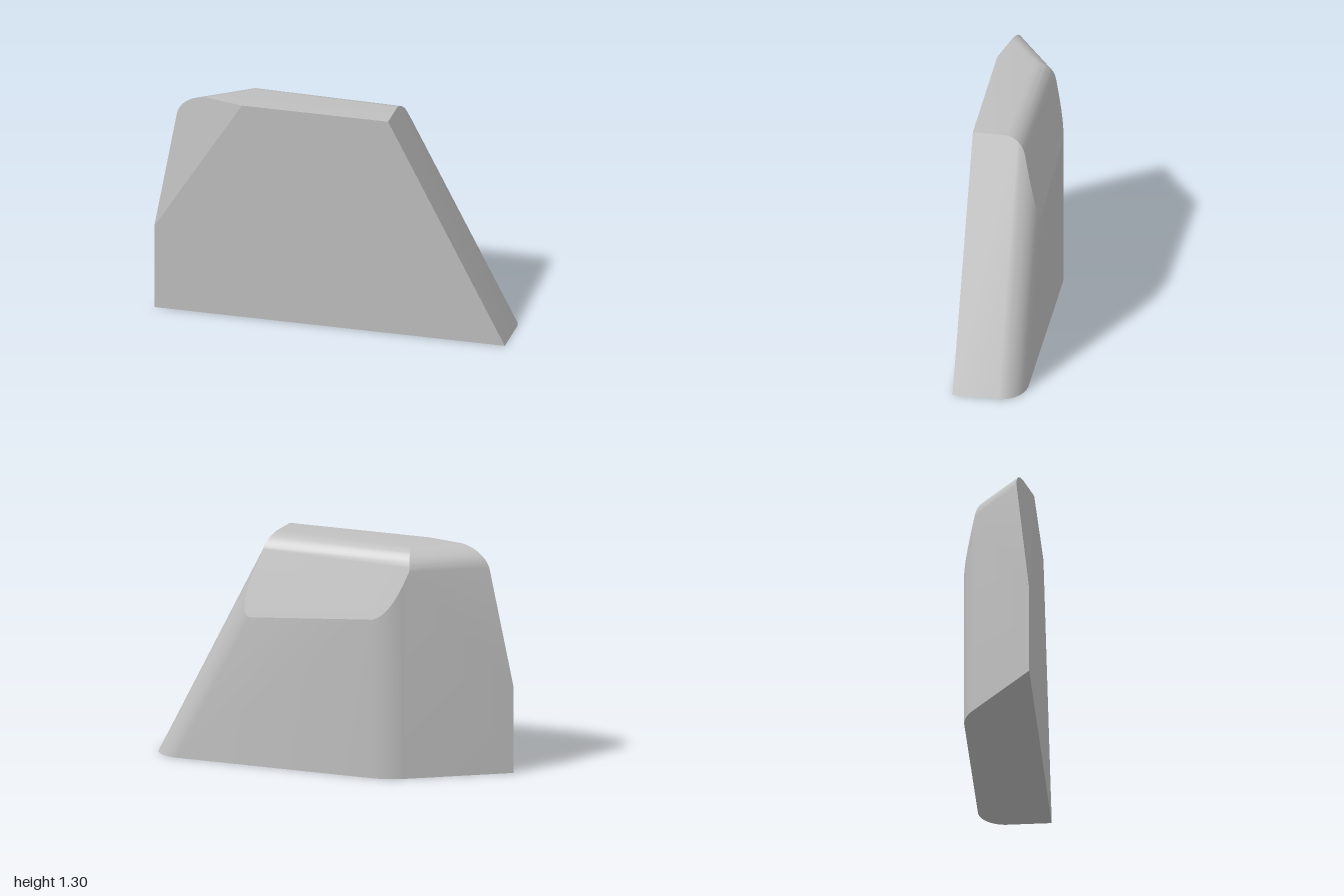
import * as THREE from 'three';
import { toCreasedNormals } from 'three/addons/utils/BufferGeometryUtils.js';

const V = (x, y, z) => new THREE.Vector3(x, y, z);
const STEPS = 9;

// Plane facing along n through point p, kept as outward normal and distance
function plane(n, p) {
  n.normalize();
  return { n, d: n.dot(p) };
}

// Planes tangent to a rounded edge of radius r between planes a and b
function fillet(a, b, r) {
  const angle = a.n.angleTo(b.n), out = [];
  for (let i = 1; i < STEPS; i++) {
    const t = i / STEPS;
    const wa = Math.sin((1 - t) * angle) / Math.sin(angle);
    const wb = Math.sin(t * angle) / Math.sin(angle);
    const n = a.n.clone().multiplyScalar(wa).addScaledVector(b.n, wb);
    out.push({ n, d: wa * (a.d - r) + wb * (b.d - r) + r });
  }
  return out;
}

// Convex solid bounded by a list of planes
function solidFromPlanes(planes) {
  const faces = planes.map(() => []);
  const addPoint = (list, p) => {
    if (!list.some(q => q.distanceTo(p) < 1e-5)) list.push(p);
  };
  const N = planes.length, c = V(0, 0, 0);
  for (let i = 0; i < N; i++) for (let j = i + 1; j < N; j++) {
    const ij = planes[i].n.clone().cross(planes[j].n);
    for (let k = j + 1; k < N; k++) {
      const det = ij.dot(planes[k].n);
      if (Math.abs(det) < 1e-7) continue;
      const p = ij.clone().multiplyScalar(planes[k].d)
        .addScaledVector(c.crossVectors(planes[j].n, planes[k].n), planes[i].d)
        .addScaledVector(c.crossVectors(planes[k].n, planes[i].n), planes[j].d)
        .divideScalar(det);
      if (planes.every(q => q.n.dot(p) < q.d + 1e-6)) {
        for (const f of [i, j, k]) addPoint(faces[f], p);
      }
    }
  }
  // Sort every face's corners around its normal and fan it
  const pos = [];
  faces.forEach((pts, f) => {
    if (pts.length < 3) return;
    const n = planes[f].n;
    const mid = pts.reduce((s, p) => s.add(p), V(0, 0, 0)).divideScalar(pts.length);
    const u = pts[0].clone().sub(mid).normalize(), v = n.clone().cross(u);
    const turn = p => {
      const r = p.clone().sub(mid);
      return Math.atan2(r.dot(v), r.dot(u));
    };
    pts.sort((a, b) => turn(a) - turn(b));
    for (let i = 1; i < pts.length - 1; i++) {
      for (const p of [pts[0], pts[i], pts[i + 1]]) pos.push(p.x, p.y, p.z);
    }
  });
  const geo = new THREE.BufferGeometry();
  geo.setAttribute('position', new THREE.Float32BufferAttribute(pos, 3));
  return toCreasedNormals(geo, 0.2);
}

export function createModel() {
  const grey = new THREE.MeshStandardMaterial({ color: 0xc0c0c0 });
  grey.name = 'plainGrey';

  const bottom = plane(V(0, -1, 0), V(0, 0, 0));
  const top = plane(V(0, 1, 0), V(0, 1.3, 0));
  const frontLower = plane(V(0.025, 0, 1), V(0, 0, 0.195));
  const frontUpper = plane(V(0.026, 0.004, 1), V(0, 0, 0.196));
  const back = plane(V(-0.022, 0, -1), V(0, 0, -0.207));
  const backSlope = plane(V(0, 0.09, -0.33), V(0, 1.2, -0.12));
  const diagonal = plane(V(-0.72, 0, -1), V(-1, 0, 0.22));
  const slantedEnd = plane(V(1.3, 0.667, 0), V(1, 0, 0));

  // Bevelled upper front corner
  const a = V(-1, 0.5, 0.22), b = V(-0.5, 1.3, 0.204), k = V(-0.89, 1.18, 0.141);
  const bevelNormal = b.clone().sub(a).cross(k.clone().sub(a));
  if (bevelNormal.z < 0) bevelNormal.negate();
  const bevel = plane(bevelNormal, a);

  const geometry = solidFromPlanes([
    bottom, top, frontLower, frontUpper, back, backSlope, diagonal, slantedEnd, bevel,
    ...fillet(diagonal, back, 0.33),   // soft bend in the back
    ...fillet(back, slantedEnd, 0.15), // rounded edge beside the slanted end
    ...fillet(top, backSlope, 0.125),  // rounded upper back edge
    ...fillet(top, diagonal, 0.13),    // rounded upper diagonal edge
  ]);

  const body = new THREE.Mesh(geometry, grey);
  body.name = 'wedgeBody';
  const group = new THREE.Group();
  group.name = 'wedgeBlock';
  group.add(body);
  return group;
}
